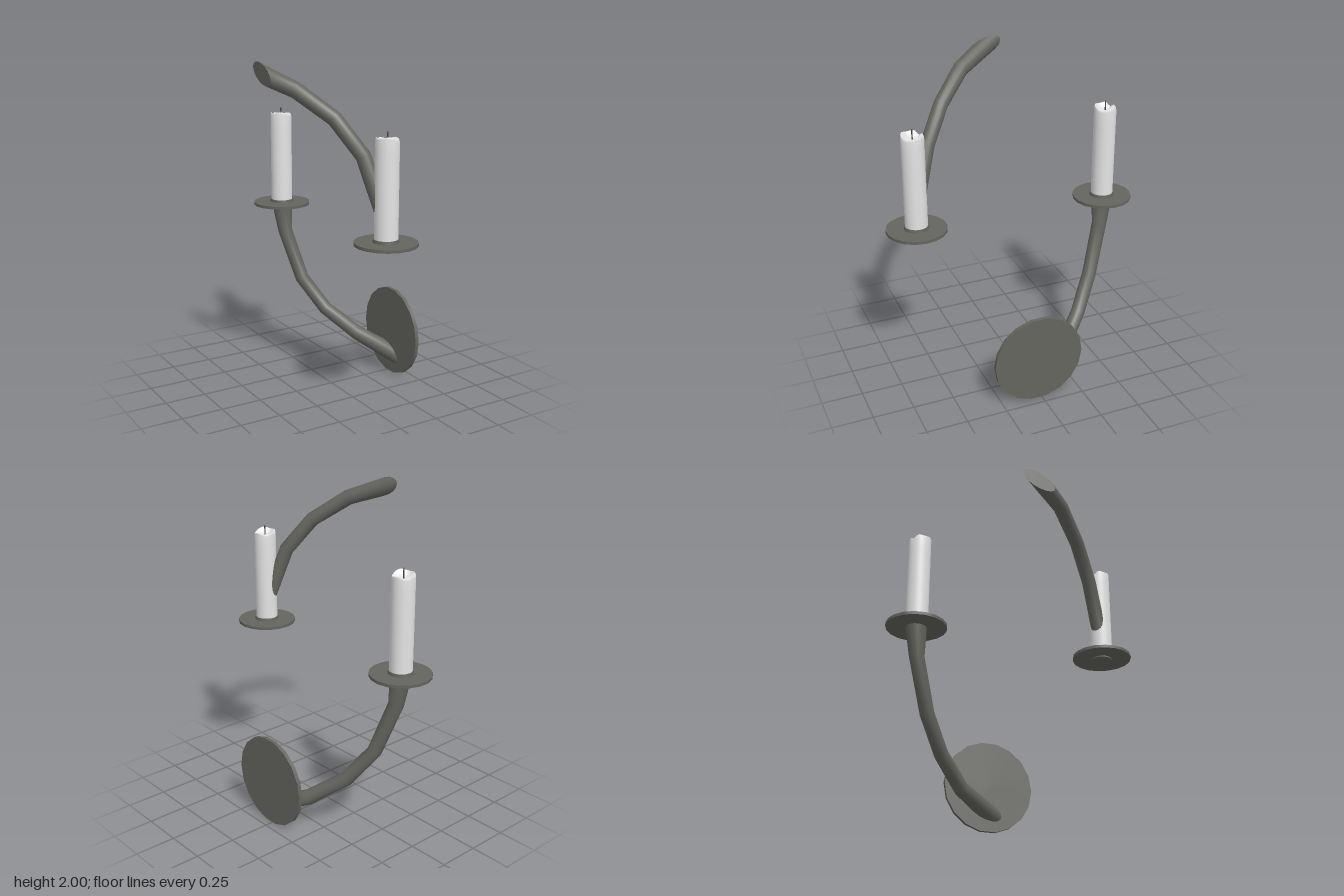
import * as THREE from 'three';
import { mergeVertices } from 'three/addons/utils/BufferGeometryUtils.js';

const V = (x, y, z) => new THREE.Vector3(x, y, z);
const CX = -0.0125, CY = 1.035, CZ = 0.6;

// Arm sections from the candle dish down to the wall plate: x, y, z, radius
const ARM = [
  [-0.013, 1.04, -0.601, 0.063],
  [0.0, 0.86, -0.585, 0.045],
  [0.07, 0.55, -0.49, 0.043],
  [0.175, 0.355, -0.365, 0.043],
  [0.315, 0.21, -0.192, 0.046],
  [0.426, 0.13, 0.0, 0.053],
];

// Mitred round tube; its last ring is cut flush with the wall (x = const)
function armGeometry(sections, sides = 16) {
  const pts = sections.map(s => V(s[0], s[1], s[2]));
  const dirs = pts.slice(1).map((p, i) => p.clone().sub(pts[i]).normalize());
  const across = V(0.805, 0, -0.595);
  const last = pts.length - 1;
  const pos = [], index = [], rings = [];
  pts.forEach((p, i) => {
    const d = dirs[Math.max(i - 1, 0)];
    let n = i < last ? d.clone().add(dirs[i]) : V(1, 0, 0);
    if (i === 0) n = V(0, 1, 0);
    const u = across.clone().addScaledVector(d, -across.dot(d)).normalize();
    const v = d.clone().cross(u);
    const ring = [];
    for (let k = 0; k < sides; k++) {
      const a = k / sides * Math.PI * 2, r = sections[i][3];
      const o = u.clone().multiplyScalar(r * Math.cos(a)).addScaledVector(v, r * Math.sin(a));
      o.addScaledVector(d, -o.dot(n) / d.dot(n)).add(p);
      ring.push(o);
      pos.push(o.x, o.y, o.z);
    }
    rings.push(ring);
  });
  for (let i = 0; i < last; i++) {
    for (let k = 0; k < sides; k++) {
      const a = i * sides + k, b = i * sides + (k + 1) % sides;
      index.push(a, b, a + sides, b, b + sides, a + sides);
    }
  }
  // End caps with their own vertices, so the edges stay sharp
  [0, last].forEach(i => {
    const base = pos.length / 3;
    [pts[i], ...rings[i]].forEach(p => pos.push(p.x, p.y, p.z));
    for (let k = 0; k < sides; k++) {
      const a = base + 1 + k, b = base + 1 + (k + 1) % sides;
      if (i === 0) index.push(base, b, a); else index.push(base, a, b);
    }
  });
  const g = new THREE.BufferGeometry();
  g.setAttribute('position', new THREE.Float32BufferAttribute(pos, 3));
  g.setIndex(index);
  g.computeVertexNormals();
  return g;
}

// Uneven melted rim height around the candle, with one run-off notch
function rimOffset(x, z) {
  const a = Math.atan2(z, x);
  const notch = Math.exp(-Math.pow(Math.cos((a + 2.2) / 2 + Math.PI / 2) / 0.16, 2));
  return -0.009 * Math.cos(a) + 0.007 * Math.cos(3 * a + 0.4) - 0.03 * notch;
}

// Lathe whose upper points follow the melted rim
function waxGeometry(profile) {
  let g = new THREE.LatheGeometry(profile.map(p => new THREE.Vector2(p[0], p[1])), 32);
  const p = g.attributes.position;
  for (let i = 0; i < p.count; i++) {
    const x = p.getX(i), y = p.getY(i), z = p.getZ(i);
    if (y > 1.5) {
      const w = Math.min(1, Math.hypot(x, z) / 0.055);
      p.setY(i, y + rimOffset(x, z) * w * w);
    }
  }
  g.deleteAttribute('uv');
  g.deleteAttribute('normal');
  g = mergeVertices(g, 1e-5);
  g.computeVertexNormals();
  return g;
}

export function createModel() {
  const model = new THREE.Group();
  model.name = 'candleSconces';
  const metal = new THREE.MeshStandardMaterial({ color: 0x65655f });
  metal.name = 'dark metal';
  const wax = new THREE.MeshStandardMaterial({ color: 0xe4e4e4 });
  wax.name = 'white wax';
  const char = new THREE.MeshStandardMaterial({ color: 0x4a4a48 });
  char.name = 'burnt wick';

  const add = (parent, name, geometry, material, x = 0, y = 0, z = 0) => {
    const m = new THREE.Mesh(geometry, material);
    m.name = name;
    m.position.set(x, y, z);
    parent.add(m);
    return m;
  };

  // Two arms, the upper one being the lower one reflected through the centre
  add(model, 'lowerArm', armGeometry(ARM), metal);
  const upper = ARM.map(([x, y, z, r]) => [2 * CX - x, 2 * CY - y, -z, r]);
  add(model, 'upperArm', armGeometry(upper), metal);

  // Round wall plate
  const plate = new THREE.CylinderGeometry(0.28, 0.28, 0.023, 18).rotateZ(Math.PI / 2);
  add(model, 'wallPlate', plate, metal, 0.437, 0.276, 0.02);

  // Candle shared parts
  const dish = new THREE.CylinderGeometry(0.18, 0.18, 0.018, 18).rotateY(Math.PI / 2);
  const collar = new THREE.CylinderGeometry(0.072, 0.075, 0.02, 24);
  const side = waxGeometry([[0.067, 1.06], [0.067, 1.55], [0.067, 1.618], [0.063, 1.628]]);
  const top = waxGeometry([[0.063, 1.628], [0.057, 1.626], [0.045, 1.613], [0.025, 1.606], [0, 1.604]]);
  const wick = new THREE.CylinderGeometry(0.0035, 0.004, 0.06, 8);

  for (const s of [-1, 1]) {
    const holder = new THREE.Group();
    holder.name = s < 0 ? 'backCandle' : 'frontCandle';
    holder.position.set(CX - 0.001, 0, s * CZ);
    add(holder, 'dish', dish, metal, 0, 1.046, 0);
    add(holder, 'collar', collar, metal, 0, 1.062, 0);
    add(holder, 'candleSide', side, wax);
    add(holder, 'candleTop', top, wax);
    add(holder, 'wick', wick, char, 0, 1.632, 0);
    model.add(holder);
  }
  return model;
}
